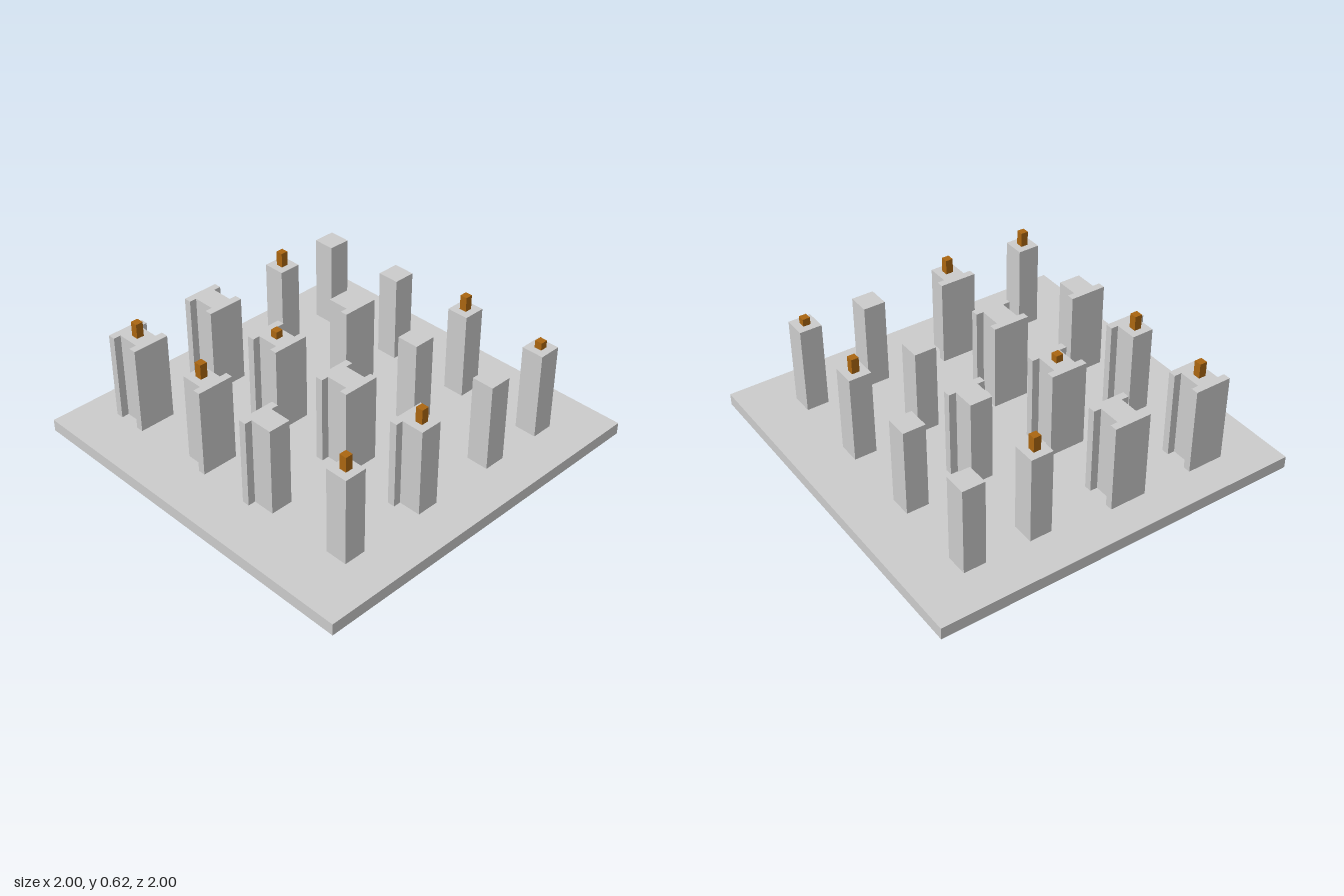
import * as THREE from 'three';

export function createModel() {
  const model = new THREE.Group();
  model.name = 'pillarBoard';
  const grey = new THREE.MeshStandardMaterial({ color: 0xcccccc });
  const brown = new THREE.MeshStandardMaterial({ color: 0xaa6611 });

  // Box standing on height y
  const addBox = (parent, name, material, [w, h, d], x, y, z) => {
    const mesh = new THREE.Mesh(new THREE.BoxGeometry(w, h, d), material);
    mesh.name = name;
    mesh.position.set(x, y + h / 2, z);
    parent.add(mesh);
  };

  const baseTop = 0.065, pillarHeight = 0.475, capHeight = 0.08;
  addBox(model, 'basePlate', grey, [2, baseTop, 2], 0, 0, 0);

  // Each cell: L / R = side slab at -x / +x, P = tall peg, S = short peg
  const columns = [-0.717, -0.24, 0.237, 0.715];
  const rows = [
    { z: -0.675, cells: ['', '', 'P', 'S'] },
    { z: -0.313, cells: ['P', 'R', '', ''] },
    { z: 0.163, cells: ['LR', 'LRS', 'LR', 'LP'] },
    { z: 0.64, cells: ['LRP', 'RP', 'L', 'P'] },
  ];

  for (const { z, cells } of rows) {
    cells.forEach((code, i) => {
      const tower = new THREE.Group();
      tower.name = 'tower';
      tower.position.set(columns[i], baseTop, z);
      model.add(tower);

      addBox(tower, 'pillar', grey, [0.12, pillarHeight, 0.12], 0, 0, 0);
      // Side slabs, wider than the pillar
      for (const [key, side] of [['L', -1], ['R', 1]]) {
        if (code.includes(key)) addBox(tower, 'sideSlab', grey, [0.04, pillarHeight, 0.2], side * 0.08, 0, 0);
      }
      // Peg on top
      const pegHeight = code.includes('P') ? capHeight : code.includes('S') ? capHeight / 2 : 0;
      if (pegHeight) addBox(tower, 'topPeg', brown, [0.04, pegHeight, 0.04], 0, pillarHeight, 0);
    });
  }
  return model;
}
